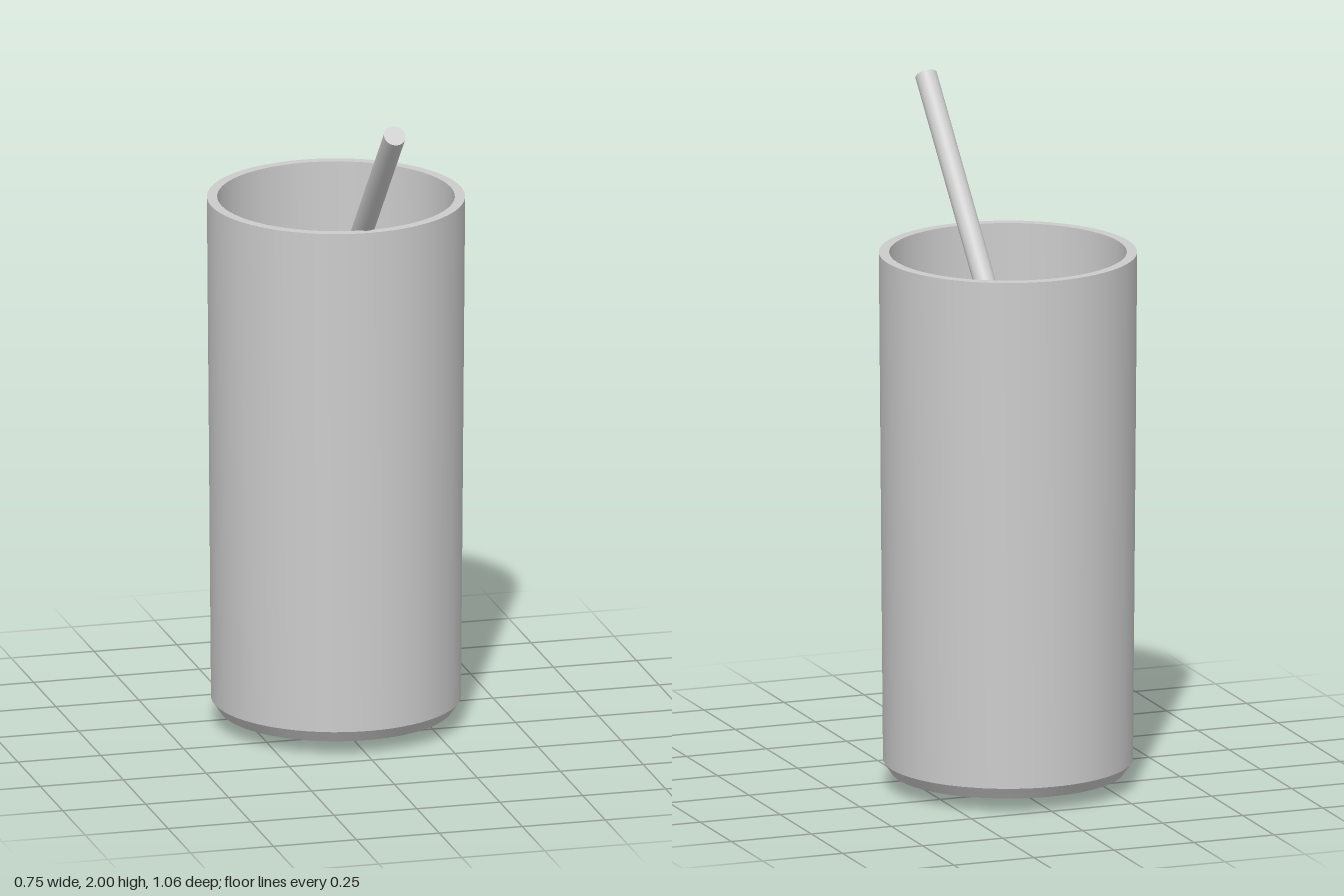
import * as THREE from 'three';
import { toCreasedNormals } from 'three/addons/utils/BufferGeometryUtils.js';

const CUP_Z = -0.152;

function mesh(name, geometry, material) {
  const m = new THREE.Mesh(geometry, material);
  m.name = name;
  return m;
}

export function createModel() {
  const model = new THREE.Group();
  model.name = 'drinkWithStraw';

  const lightGrey = new THREE.MeshStandardMaterial({ color: 0xcccccc });
  lightGrey.name = 'light grey';
  const brown = new THREE.MeshStandardMaterial({ color: 0x8e5c45 });
  brown.name = 'drink brown';

  // Tumbler: outside from the base up, over the rim, down the inside
  const profile = [
    [0, 0.003], [0.17, 0.003], [0.34, 0.045], [0.364, 0.08], [0.376, 1.6],
    [0.346, 1.6], [0.334, 0.1], [0.32, 0.075], [0.16, 0.035], [0, 0.035],
  ].map(([r, y]) => new THREE.Vector2(r, y));
  const cup = mesh('cup', toCreasedNormals(new THREE.LatheGeometry(profile, 64), 0.2), lightGrey);
  cup.position.z = CUP_Z;
  model.add(cup);

  // Drink filling the tumbler, just clear of the wall
  const bottom = 0.1, level = 1.24;
  const drink = mesh('drink', new THREE.CylinderGeometry(0.328, 0.328, level - bottom, 64), brown);
  drink.position.set(0, (level + bottom) / 2, CUP_Z);
  model.add(drink);

  // Straw leaning forward over the rim, its lower end in the drink
  const top = new THREE.Vector3(0, 1.978, 0.504);
  const direction = new THREE.Vector3(0, 0.738, 0.675).normalize();
  const length = 1.2;
  const straw = mesh('straw', new THREE.CylinderGeometry(0.032, 0.032, length, 32), lightGrey);
  straw.quaternion.setFromUnitVectors(new THREE.Vector3(0, 1, 0), direction);
  straw.position.copy(top).addScaledVector(direction, -length / 2);
  model.add(straw);

  return model;
}
